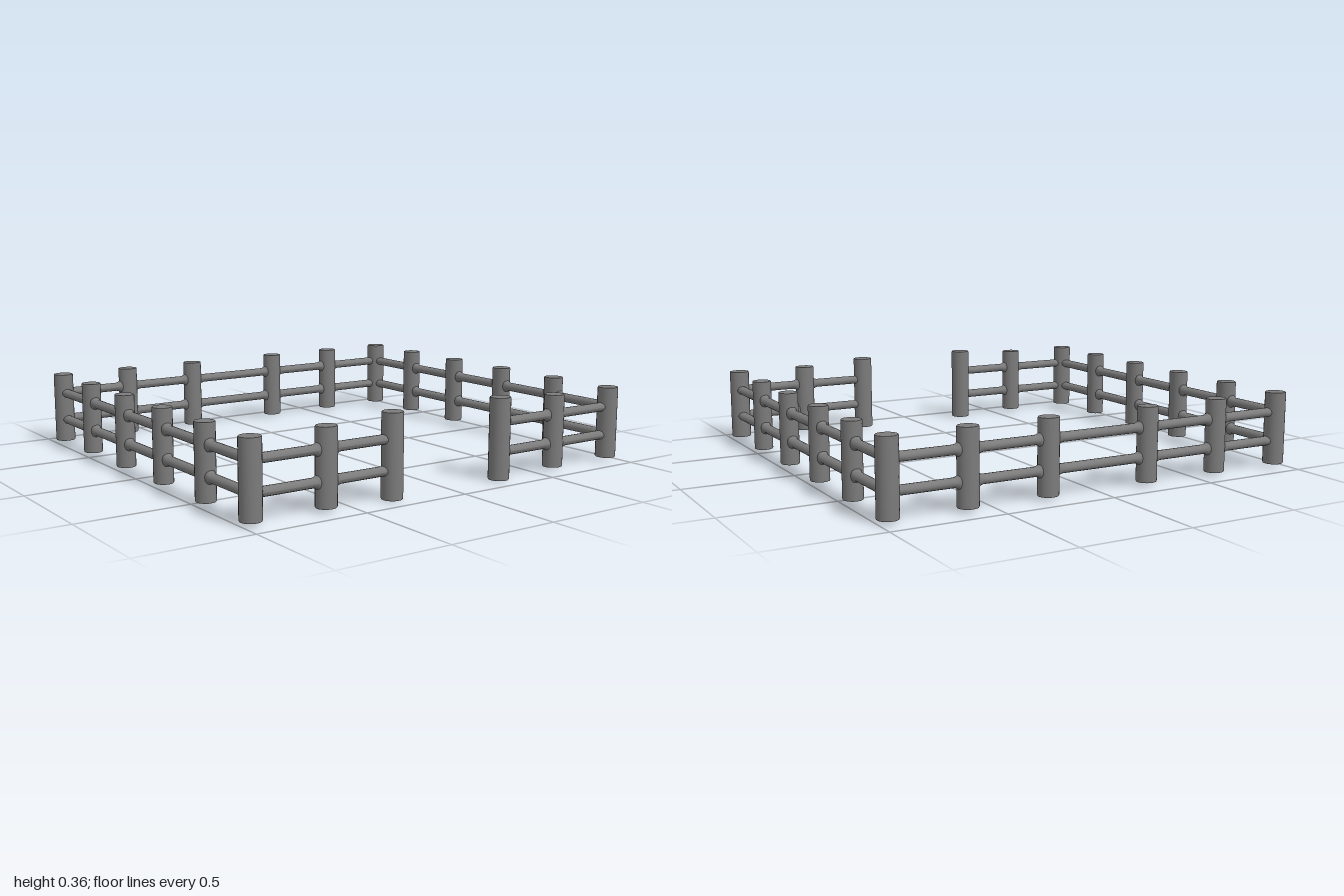
import * as THREE from 'three';

const material = new THREE.MeshStandardMaterial({ color: 0x7b7b7b });
const X = 0.954, Z = 0.884, R = 0.046;

// Round post, with half-widths along x and z
function addPost(group, name, x, z, rx, rz, bottom, top) {
  const profile = [
    [0, bottom], [0.96, bottom], [0.96, bottom], [1, bottom + 0.004],
    [1, top - 0.004], [0.96, top], [0.96, top], [0, top],
  ].map(([px, py]) => new THREE.Vector2(px, py));
  const geometry = new THREE.LatheGeometry(profile, 24);
  geometry.scale(rx, 1, rz);
  const post = new THREE.Mesh(geometry, material);
  post.name = name;
  post.position.set(x, 0, z);
  group.add(post);
}

// Oval rail between two posts; its height swells where it meets a line post
function addRail(group, a, b, y, flareA, flareB) {
  const from = new THREE.Vector3(a[0], y, a[1]);
  const to = new THREE.Vector3(b[0], y, b[1]);
  const length = from.distanceTo(to);
  const steps = [0, 0.04, 0.047, 0.054, 0.062, 0.07];
  const distances = [...steps, ...steps.map(d => length - d).reverse()];
  const geometry = new THREE.LatheGeometry(distances.map(d => new THREE.Vector2(0.0205, d)), 16);

  const alongX = a[1] === b[1];
  const swell = d => 1 + 0.65 * Math.max(0, 1 - Math.max(0, d - 0.04) / 0.024) ** 2;
  const p = geometry.attributes.position;
  for (let i = 0; i < p.count; i++) {
    const d = p.getY(i);
    const tall = (flareA ? swell(d) : 1) * (flareB ? swell(length - d) : 1);
    const wide = 1.2;
    p.setX(i, p.getX(i) * (alongX ? tall : wide));
    p.setZ(i, p.getZ(i) * (alongX ? wide : tall));
  }
  geometry.computeVertexNormals();

  const rail = new THREE.Mesh(geometry, material);
  rail.name = y > 0.2 ? 'upperRail' : 'lowerRail';
  rail.position.copy(from);
  rail.quaternion.setFromUnitVectors(new THREE.Vector3(0, 1, 0), to.clone().sub(from).normalize());
  group.add(rail);
}

export function createModel() {
  const model = new THREE.Group();
  model.name = 'fence';

  // One open run around the yard, from one gate post to the other
  const sideZ = [0.54, 0.175, -0.19, -0.55];
  const run = [
    [-0.29, Z], [-0.612, Z], [-X, Z],
    ...sideZ.map(z => [-X, z]),
    [-X, -Z], [-0.612, -Z], [-0.245, -Z], [0.245, -Z], [0.612, -Z], [X, -Z],
    ...[...sideZ].reverse().map(z => [X, z]),
    [X, Z], [0.612, Z], [0.29, Z],
  ];
  const isGate = i => i === 0 || i === run.length - 1;
  const isCorner = i => Math.abs(run[i][0]) === X && Math.abs(run[i][1]) === Z;
  const isLine = i => !isGate(i) && !isCorner(i);

  // Gate posts are taller; line posts are slightly narrower across the rails
  run.forEach(([x, z], i) => {
    const onSide = Math.abs(x) === X;
    if (isGate(i)) addPost(model, 'gatePost', x, z, R, R, 0, 0.36);
    else if (isCorner(i)) addPost(model, 'cornerPost', x, z, R, R, 0.015, 0.34);
    else addPost(model, 'linePost', x, z, onSide ? 0.043 : R, onSide ? R : 0.043, 0.015, 0.34);
  });

  for (let i = 0; i < run.length - 1; i++) {
    for (const y of [0.12, 0.25]) addRail(model, run[i], run[i + 1], y, isLine(i), isLine(i + 1));
  }
  return model;
}
